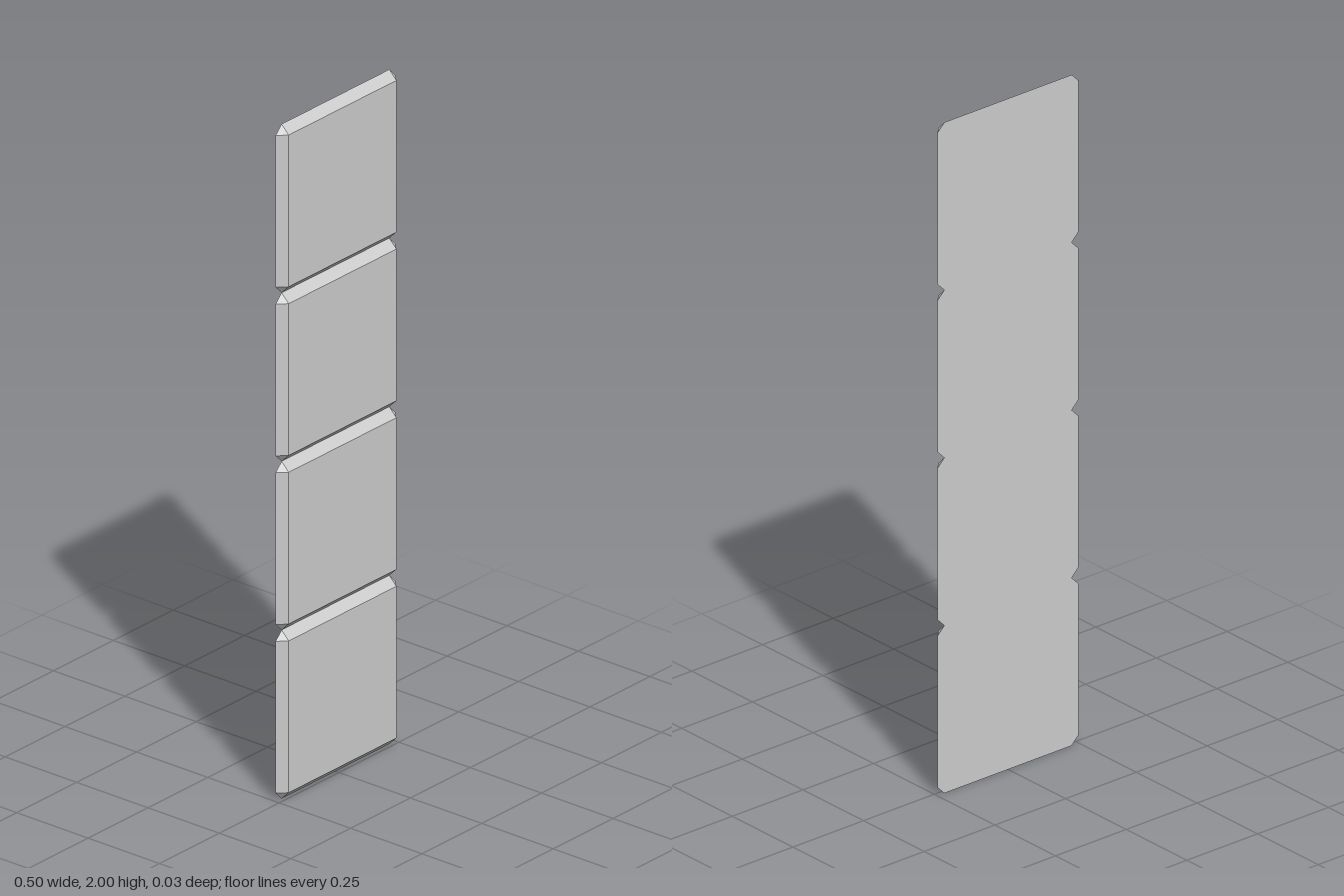
import * as THREE from 'three';
import { ConvexGeometry } from 'three/addons/geometries/ConvexGeometry.js';

const TILE = 0.5, BEVEL = 0.025, HALF_DEPTH = 0.0125, COUNT = 4;

// One bevelled tile: square front face, larger back face with clipped corners
function tileGeometry() {
  const outer = TILE / 2, inner = outer - BEVEL;
  const points = [];
  for (const sx of [-1, 1]) {
    for (const sy of [-1, 1]) {
      points.push(
        new THREE.Vector3(sx * inner, sy * inner, HALF_DEPTH),
        new THREE.Vector3(sx * outer, sy * inner, -HALF_DEPTH),
        new THREE.Vector3(sx * inner, sy * outer, -HALF_DEPTH)
      );
    }
  }
  return new ConvexGeometry(points);
}

export function createModel() {
  const group = new THREE.Group();
  group.name = 'tilePanel';
  const material = new THREE.MeshStandardMaterial({ color: 0xcccccc, flatShading: true });
  const geometry = tileGeometry();

  // Column of tiles, stacked edge to edge
  for (let i = 0; i < COUNT; i++) {
    const tile = new THREE.Mesh(geometry, material);
    tile.name = `tile${i + 1}`;
    tile.position.y = (i + 0.5) * TILE;
    group.add(tile);
  }
  return group;
}
